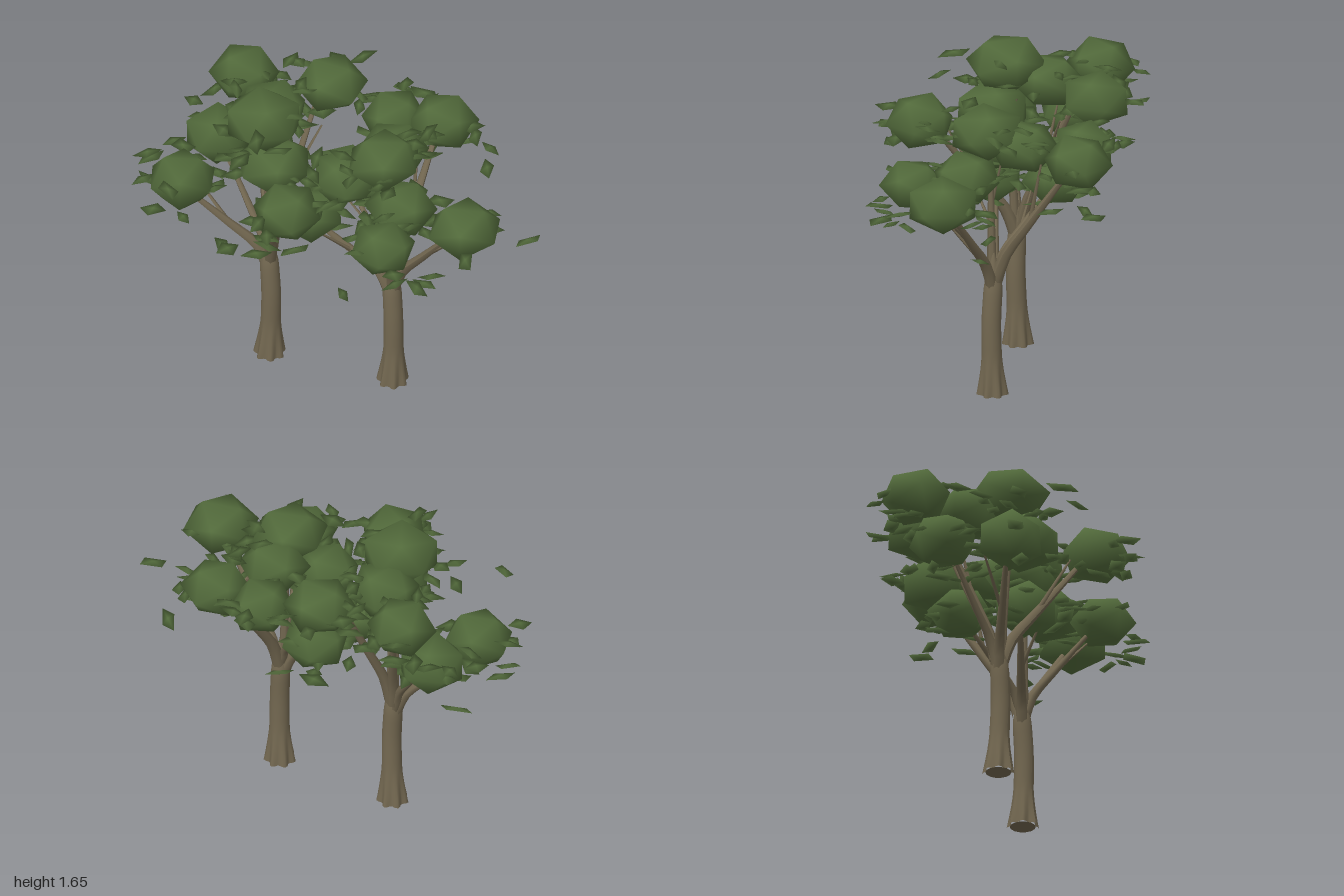
import * as THREE from 'three';
import { mergeVertices, mergeGeometries } from 'three/addons/utils/BufferGeometryUtils.js';

const bark = new THREE.MeshStandardMaterial({ color: 0x726750 });
bark.name = 'bark';
const foliage = new THREE.MeshStandardMaterial({ color: 0x526a3b });
foliage.name = 'foliage';

// Small seeded generator, returning values between a and b
let seed = 7;
function rand(a, b) {
  seed = (seed * 16807) % 2147483647;
  return a + (b - a) * (seed / 2147483647);
}

const vec = (p) => new THREE.Vector3(...p);

// Tube whose radius follows radius(t, angle)
function taperedTube(points, radius, segments, sides) {
  const curve = new THREE.CatmullRomCurve3(points);
  const geo = new THREE.TubeGeometry(curve, segments, 1, sides, false);
  const pos = geo.attributes.position;
  const v = new THREE.Vector3();
  for (let i = 0; i <= segments; i++) {
    const centre = curve.getPointAt(i / segments);
    for (let j = 0; j <= sides; j++) {
      const k = i * (sides + 1) + j;
      v.fromBufferAttribute(pos, k).sub(centre);
      v.multiplyScalar(radius(i / segments, (j / sides) * Math.PI * 2)).add(centre);
      if (points[0].y === 0 && i === 0) v.y = 0;
      pos.setXYZ(k, v.x, v.y, v.z);
    }
  }
  geo.computeVertexNormals();
  return geo;
}

// Trunk with fluted root flare, and curved branches rising from the fork
function makeTree(name, trunkPath, targets) {
  const tree = new THREE.Group();
  tree.name = name;
  const trunkRadius = (t, a) => {
    const flare = Math.pow(Math.max(0, 1 - t / 0.28), 1.3);
    const narrowing = 0.04 * Math.max(0, (t - 0.76) / 0.24);
    return 0.053 - 0.006 * t - narrowing + flare * (0.02 + 0.011 * Math.cos(a * 7));
  };
  const trunk = new THREE.Mesh(taperedTube(trunkPath.map(vec), trunkRadius, 18, 35), bark);
  trunk.name = 'trunk';
  const base = new THREE.Mesh(new THREE.CircleGeometry(0.066, 14), bark);
  base.name = 'trunkBase';
  base.rotation.x = Math.PI / 2;
  base.position.set(...trunkPath[0]);
  tree.add(trunk, base);

  const top = vec(trunkPath[trunkPath.length - 1]);
  targets.forEach(([x, y, z, r = 0.027], i) => {
    const end = new THREE.Vector3(x, y, z);
    const start = top.clone();
    start.y -= 0.2 - 0.018 * i;
    const out = end.clone().sub(start).setY(0).normalize();
    start.addScaledVector(out, 0.016);
    const bend = start.clone().lerp(end, 0.45);
    bend.y += 0.04;
    const low = start.clone().lerp(end, 0.12);
    low.y += 0.06;
    const branch = new THREE.Mesh(
      taperedTube([start, low, bend, end], (t) => r * (1.1 - 0.75 * t) + 0.002, 10, 7), bark);
    branch.name = 'branch';
    tree.add(branch);
    // Side twig leaving the branch partway
    const tip = bend.clone().lerp(end, 0.7).add(
      new THREE.Vector3(rand(-0.12, 0.12), rand(0.03, 0.1), rand(-0.12, 0.12)));
    const twig = new THREE.Mesh(
      taperedTube([bend, bend.clone().lerp(tip, 0.5), tip], (t) => r * 0.45 * (1 - 0.6 * t), 4, 5), bark);
    twig.name = 'twig';
    tree.add(twig);
  });
  return tree;
}

// Base solid with shared corners, so its normals come out smooth
function smoothSolid(geo) {
  geo.deleteAttribute('normal');
  geo.deleteAttribute('uv');
  return mergeVertices(geo, 1e-3);
}

// Flattened, slightly irregular low-sided clump
function clumpGeometry(halfWidth, halfHeight) {
  const geo = smoothSolid(new THREE.IcosahedronGeometry(1, 0));
  const pos = geo.attributes.position;
  for (let i = 0; i < pos.count; i++) {
    const s = rand(1.02, 1.13);
    pos.setXYZ(i, pos.getX(i) * s, pos.getY(i), pos.getZ(i) * s);
  }
  geo.rotateY(rand(0, Math.PI * 2));
  geo.scale(halfWidth, halfHeight / 0.851, halfWidth);
  geo.computeVertexNormals();
  return geo;
}

// Thin, nearly level four-cornered leaf with a skewed outline
function leafGeometry(x, y, z, yaw) {
  const geo = smoothSolid(new THREE.OctahedronGeometry(1, 0));
  const skew = rand(-0.5, 0.5);
  const pos = geo.attributes.position;
  for (let i = 0; i < pos.count; i++) pos.setX(i, pos.getX(i) + skew * pos.getZ(i));
  geo.scale(rand(0.06, 0.09), 0.011, rand(0.032, 0.05));
  geo.computeVertexNormals();
  geo.rotateX(rand(-0.3, 0.3));
  geo.rotateZ(rand(-0.2, 0.2));
  geo.rotateY(yaw);
  geo.translate(x, y, z);
  return geo;
}

export function createModel() {
  seed = 7;
  const model = new THREE.Group();
  model.name = 'treePair';

  model.add(makeTree('leftTree',
    [[-0.31, 0, 0.175], [-0.302, 0.2, 0.175], [-0.296, 0.4, 0.178], [-0.308, 0.6, 0.18], [-0.312, 0.77, 0.175]],
    [[-0.62, 1.02, 0.47], [-0.66, 1.08, 0.16, 0.022], [0.06, 1.22, 0.4, 0.03],
      [-0.56, 1.3, 0.02], [-0.34, 1.38, -0.16], [-0.27, 1.42, 0.23, 0.022]]));
  model.add(makeTree('rightTree',
    [[0.28, 0, -0.13], [0.286, 0.2, -0.13], [0.287, 0.4, -0.128], [0.274, 0.6, -0.13], [0.272, 0.77, -0.13]],
    [[-0.06, 0.97, 0.12], [0.7, 1.15, -0.18], [0.5, 1.1, 0.14, 0.022], [0.16, 1.3, -0.54, 0.03],
      [-0.12, 1.02, -0.19, 0.02], [0.26, 1.36, -0.1, 0.022]]));

  // Foliage clumps: x, y, z, half width, half height
  const clumps = [
    [-0.29, 1.53, 0.24, 0.2, 0.122], [0.16, 1.35, -0.585, 0.165, 0.12],
    [-0.36, 1.45, -0.29, 0.178, 0.115], [0.27, 1.42, -0.08, 0.185, 0.115],
    [0.125, 1.29, 0.46, 0.168, 0.125], [-0.62, 1.095, 0.495, 0.168, 0.13],
    [0.545, 1.15, 0.18, 0.155, 0.115], [0.755, 1.205, -0.185, 0.178, 0.118],
    [-0.195, 1.305, 0.25, 0.19, 0.12], [-0.06, 1.32, -0.45, 0.16, 0.12],
    [0.17, 1.35, -0.24, 0.172, 0.115], [-0.15, 1.05, -0.19, 0.165, 0.115],
    [-0.045, 1.02, 0.14, 0.168, 0.118], [0.08, 1.26, 0.02, 0.17, 0.115],
    [0.41, 1.21, -0.07, 0.172, 0.115], [-0.725, 1.445, -0.035, 0.165, 0.125],
    [-0.73, 1.145, 0.15, 0.172, 0.122], [-0.41, 1.44, 0.06, 0.17, 0.12],
  ];
  const leaves = [];
  for (const [x, y, z, w, h] of clumps) {
    const clump = new THREE.Mesh(clumpGeometry(w, h), foliage);
    clump.name = 'foliageClump';
    clump.position.set(x, y, z);
    model.add(clump);
    // Loose leaves around the clump
    for (let i = 0; i < 10; i++) {
      const a = rand(0, Math.PI * 2), d = w * rand(0.75, 1.35);
      const lx = x + Math.cos(a) * d, lz = z + Math.sin(a) * d;
      const ly = y + rand(-0.14, 0.08);
      if (Math.abs(lx) < 0.9 && Math.abs(lz) < 0.7) leaves.push(leafGeometry(lx, ly, lz, rand(0, Math.PI * 2)));
    }
  }
  // Outlying leaves: x, y, z, turn
  const outliers = [
    [0.29, 1.14, -0.79, -0.2], [0.44, 1.18, -0.63, -0.6], [0.87, 1.02, -0.52, 1.4], [0.69, 1.05, -0.43, 0.5],
    [0.925, 1.17, -0.04, -0.4], [-0.93, 1.23, 0.13, 0.2], [-0.9, 1.05, 0.45, 1.5], [-0.42, 1.28, 0.77, -0.4],
    [-0.03, 1.1, 0.72, 1.4], [-0.12, 1.04, 0.67, -0.2], [0.12, 1.12, 0.66, 0.9], [0.51, 0.96, 0.42, -0.4],
    [-0.7, 0.92, 0.62, 0.8], [-0.17, 1.35, -0.62, -0.3], [0.79, 1.03, 0.12, 0.1], [-0.88, 0.93, 0.2, 0.6],
    [0.76, 1.02, 0.04, 0.9], [-0.45, 1.02, 0.64, -0.2], [-0.89, 1.27, 0.02, 1.3], [0.8, 1.04, 0.18, 0],
  ];
  for (const p of outliers) leaves.push(leafGeometry(...p));
  const looseLeaves = new THREE.Mesh(mergeGeometries(leaves), foliage);
  looseLeaves.name = 'looseLeaves';
  model.add(looseLeaves);
  return model;
}
